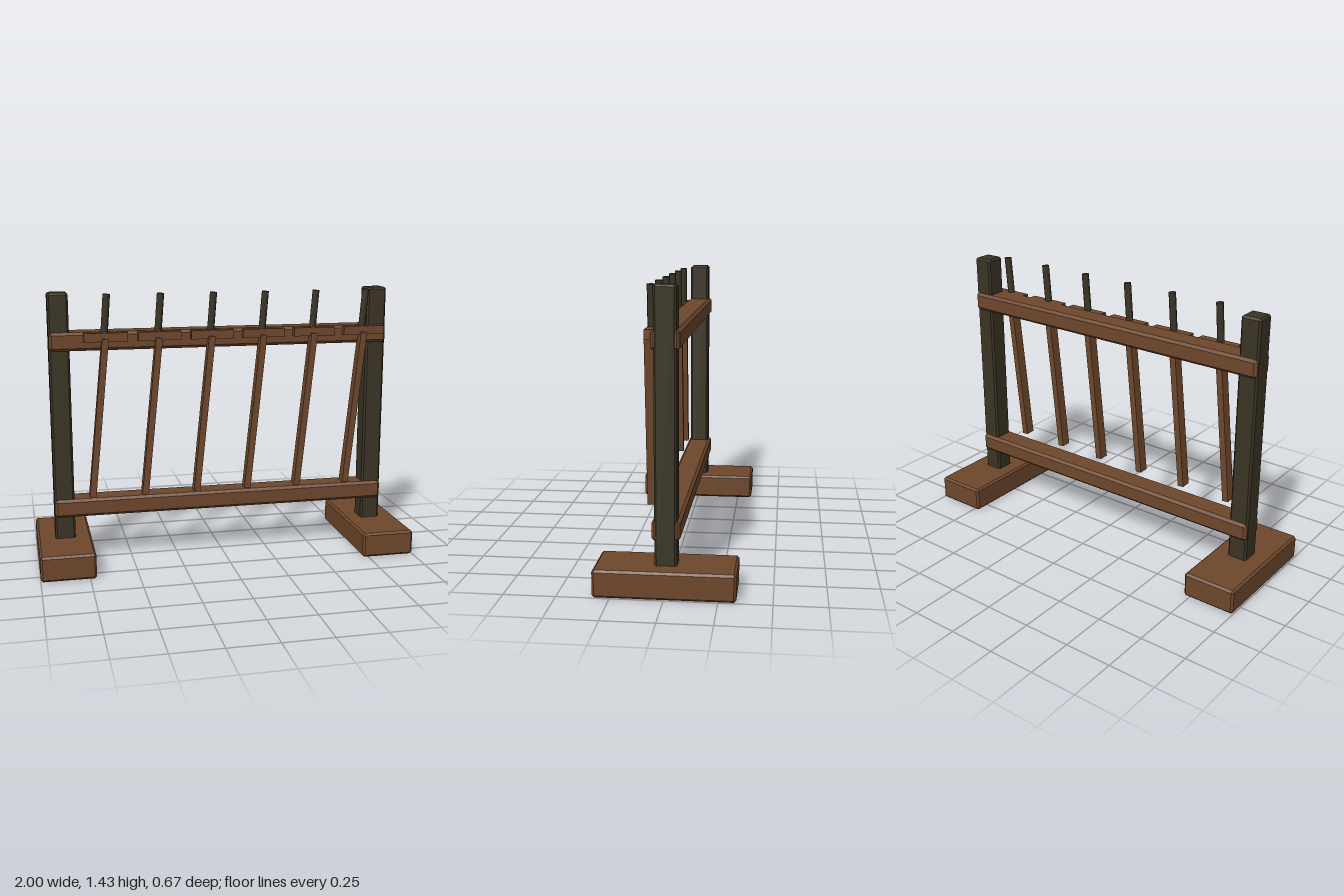
import * as THREE from 'three';
import { ConvexGeometry } from 'three/addons/geometries/ConvexGeometry.js';

// Box with all edges chamfered by c
function chamferBox(w, h, d, c) {
  const pts = [];
  for (const sx of [-1, 1]) for (const sy of [-1, 1]) for (const sz of [-1, 1]) {
    const x = w / 2, y = h / 2, z = d / 2;
    pts.push(new THREE.Vector3(sx * x, sy * (y - c), sz * (z - c)));
    pts.push(new THREE.Vector3(sx * (x - c), sy * y, sz * (z - c)));
    pts.push(new THREE.Vector3(sx * (x - c), sy * (y - c), sz * z));
  }
  return new ConvexGeometry(pts);
}

export function createModel() {
  const wood = new THREE.MeshStandardMaterial({ name: 'brownWood', color: 0x6e472c });
  const dark = new THREE.MeshStandardMaterial({ name: 'darkWood', color: 0x3a3424 });
  const root = new THREE.Group();
  root.name = 'trainingSwordRack';

  const add = (parent, name, geo, mat, x, y, z, tilt = 0) => {
    const m = new THREE.Mesh(geo, mat);
    m.name = name;
    m.position.set(x, y, z);
    m.rotation.z = tilt;
    parent.add(m);
    return m;
  };

  // Feet and upright posts
  const foot = chamferBox(0.283, 0.133, 0.666, 0.011);
  const post = chamferBox(0.106, 1.33, 0.106, 0.01);
  for (const [side, s] of [['right', -1], ['left', 1]]) {
    add(root, side + 'Foot', foot, wood, s * 0.8585, 0.0665, 0);
    add(root, side + 'Post', post, dark, s * 0.854, 0.765, 0);
  }

  // Horizontal rails
  const rail = chamferBox(1.81, 0.096, 0.134, 0.014);
  add(root, 'lowerRail', rail, wood, 0, 0.297, 0);
  add(root, 'upperRail', rail, wood, 0, 1.182, 0);

  // Six leaning wooden swords hung on the upper rail
  const blade = new THREE.BoxGeometry(0.034, 0.836, 0.055);
  const guard = new THREE.BoxGeometry(0.225, 0.045, 0.041);
  const grip = new THREE.CylinderGeometry(0.019, 0.019, 0.245, 8);
  for (let i = 0; i < 6; i++) {
    const sword = new THREE.Group();
    sword.name = 'sword' + (i + 1);
    sword.position.x = -0.618 + i * 0.2775;
    add(sword, 'blade', blade, wood, -0.047, 0.781, 0.085, -0.103);
    add(sword, 'guard', guard, wood, 0, 1.205, 0.078);
    add(sword, 'grip', grip, dark, -0.001, 1.302, 0.078, -0.08);
    root.add(sword);
  }
  return root;
}
